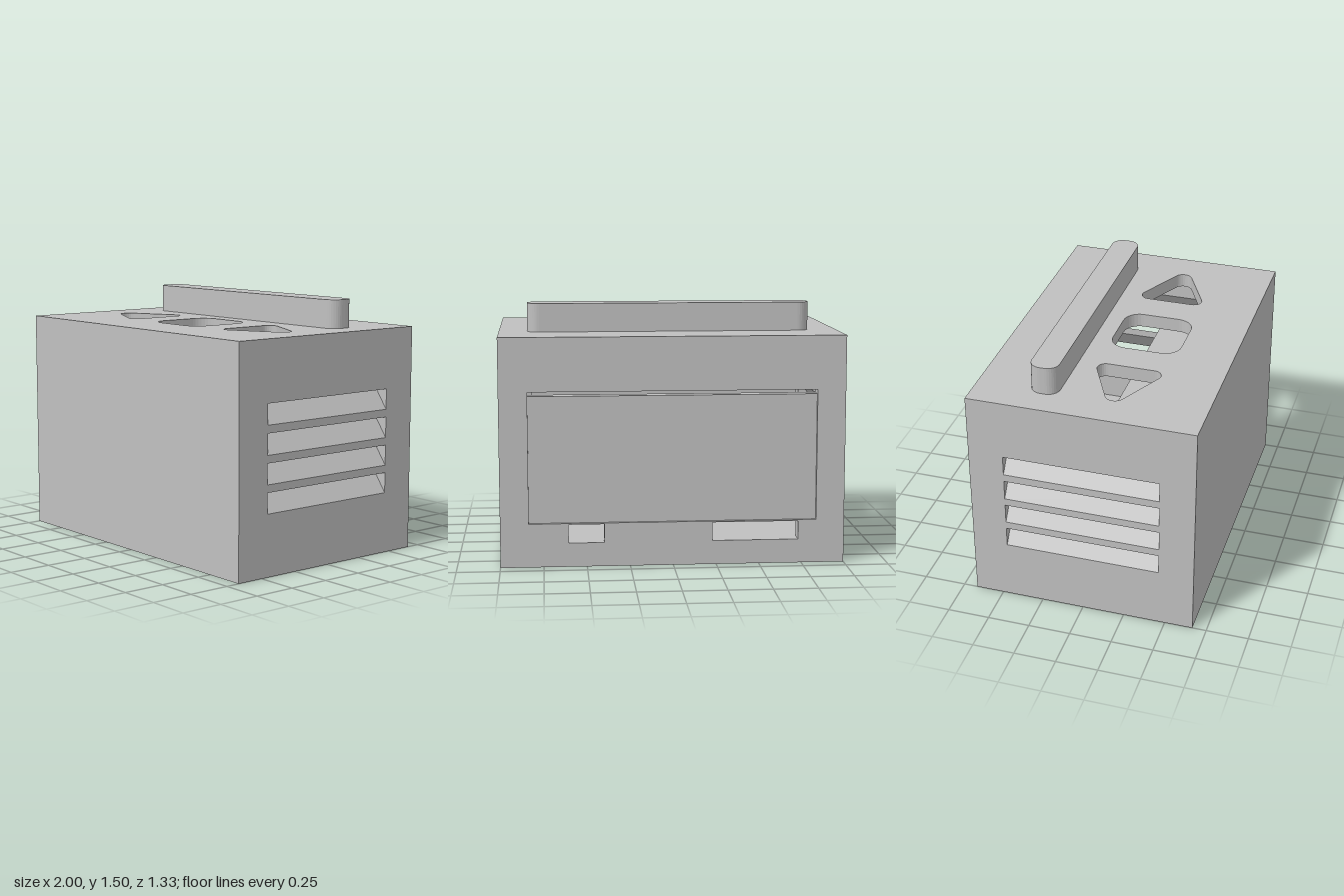
import * as THREE from 'three';

export function createModel() {
  const group = new THREE.Group();
  const grey = new THREE.MeshStandardMaterial({ color: 0xc0c0c0 });
  grey.name = 'casing grey';

  const add = (name, geometry) => {
    const mesh = new THREE.Mesh(geometry, grey);
    mesh.name = name;
    group.add(mesh);
    return mesh;
  };
  // Box given by its lower and upper limits on each axis
  const block = (name, x0, x1, y0, y1, z0, z1) =>
    add(name, new THREE.BoxGeometry(x1 - x0, y1 - y0, z1 - z0)
      .translate((x0 + x1) / 2, (y0 + y1) / 2, (z0 + z1) / 2));

  // Polygon with rounded corners; radii may differ per corner
  const rounded = (points, radii, Type = THREE.Path) => {
    const path = new Type();
    const p = points.map(([x, y]) => new THREE.Vector2(x, y));
    p.forEach((c, i) => {
      const r = radii[i];
      const before = p[(i + p.length - 1) % p.length].clone().sub(c).normalize();
      const after = p[(i + 1) % p.length].clone().sub(c).normalize();
      const half = before.angleTo(after) / 2;
      const cut = r / Math.tan(half);
      const start = c.clone().addScaledVector(before, cut);
      const centre = c.clone().addScaledVector(before.clone().add(after).normalize(), r / Math.sin(half));
      const end = c.clone().addScaledVector(after, cut);
      const a0 = start.clone().sub(centre).angle();
      const a1 = end.clone().sub(centre).angle();
      const turn = Math.atan2(Math.sin(a1 - a0), Math.cos(a1 - a0));
      for (let k = 0; k <= 8; k++) {
        const a = a0 + turn * k / 8;
        const x = centre.x + r * Math.cos(a), y = centre.y + r * Math.sin(a);
        if (i === 0 && k === 0) path.moveTo(x, y); else path.lineTo(x, y);
      }
    });
    path.closePath();
    return path;
  };
  const rect = (x0, x1, y0, y1) => [[x0, y0], [x1, y0], [x1, y1], [x0, y1]];
  const plain = (points, Type = THREE.Path) =>
    new Type(points.map(([x, y]) => new THREE.Vector2(x, y)));
  const extrude = (shape, depth) => new THREE.ExtrudeGeometry(shape, { depth, bevelEnabled: false });

  const W = 1, D = 0.667, H = 1.333, T = 0.09;
  const ceiling = H - 0.083;

  // Top plate (drawn in x and -z) with a rounded square between two triangles
  const top = plain(rect(-W, W, -D, D), THREE.Shape);
  top.holes.push(rounded(rect(-0.21, 0.21, -0.34, 0.08), [0.1, 0.1, 0.1, 0.1]));
  for (const s of [-1, 1]) {
    top.holes.push(rounded(
      [[s * 0.415, 0.095], [s * 0.415, -0.345], [s * 0.86, -0.125]], [0.05, 0.05, 0.055]));
  }
  add('topPlate', extrude(top, H - ceiling).rotateX(-Math.PI / 2).translate(0, ceiling, 0));

  // Raised bar on top
  const bar = rounded(rect(-0.833, 0.833, 0.185, 0.352), [0.07, 0.07, 0.07, 0.07], THREE.Shape);
  add('topBar', extrude(bar, 0.167).rotateX(-Math.PI / 2).translate(0, H, 0));

  // Base and inner floor
  block('base', -W, W, 0, 0.14, -D + T, D - 0.01);
  block('innerFloor', -W + T, W - T, 0.245, 0.265, -D + T, D - 0.01);

  // Back wall: outer layer with a shallow recess, inner layer with a slit
  const ports = [rect(0.4, 0.606, 0.14, 0.248), rect(-0.73, -0.228, 0.14, 0.248)];
  const backLayer = (name, opening, z, depth) => {
    const shape = plain(rect(-W, W, 0, ceiling), THREE.Shape);
    [...ports, opening].forEach(o => shape.holes.push(plain(o)));
    add(name, extrude(shape, depth).translate(0, 0, z));
  };
  backLayer('backFrame', rect(-0.835, 0.835, 0.255, 1.02), -D, 0.018);
  backLayer('backPanel', rect(-0.835, 0.835, 0.993, 1.02), -D + 0.018, T - 0.018);

  // Front skin stiffened by ribs on the inside
  block('frontSkin', -W, W, 0, ceiling, D - 0.01, D);
  for (let i = 0; i < 4; i++) {
    const x = -0.555 + i * 0.386;
    block('frontRib', x - 0.052, x + 0.052, 0.265, ceiling, D - 0.11, D - 0.01);
  }

  // Side walls: solid ends with slanted louvres between them
  const slots = [[0.36, 0.48], [0.525, 0.645], [0.69, 0.812], [0.858, 0.978]];
  const rise = 0.123, zEnd = 0.46;
  for (const s of [-1, 1]) {
    const [x0, x1] = s > 0 ? [W - T, W] : [-W, -W + T];
    block('sideFrontEnd', x0, x1, 0.14, ceiling, zEnd, D - 0.01);
    block('sideBackEnd', x0, x1, 0.14, ceiling, -D + T, -zEnd);
    for (let i = 0; i <= slots.length; i++) {
      const first = i === 0, last = i === slots.length;
      const low = first ? 0.14 : slots[i - 1][1];
      const high = last ? ceiling : slots[i][0];
      const profile = plain([
        [s * W, low], [s * W, high],
        [s * (W - T), last ? high : high + rise],
        [s * (W - T), first ? low : low + rise],
      ], THREE.Shape);
      add('sideLouvre', extrude(profile, zEnd * 2).translate(0, 0, -zEnd));
    }
  }

  // Inner block standing under the top openings
  block('innerBlock', -0.82, 0.82, 0.265, 1.0, 0, 0.2);

  return group;
}
